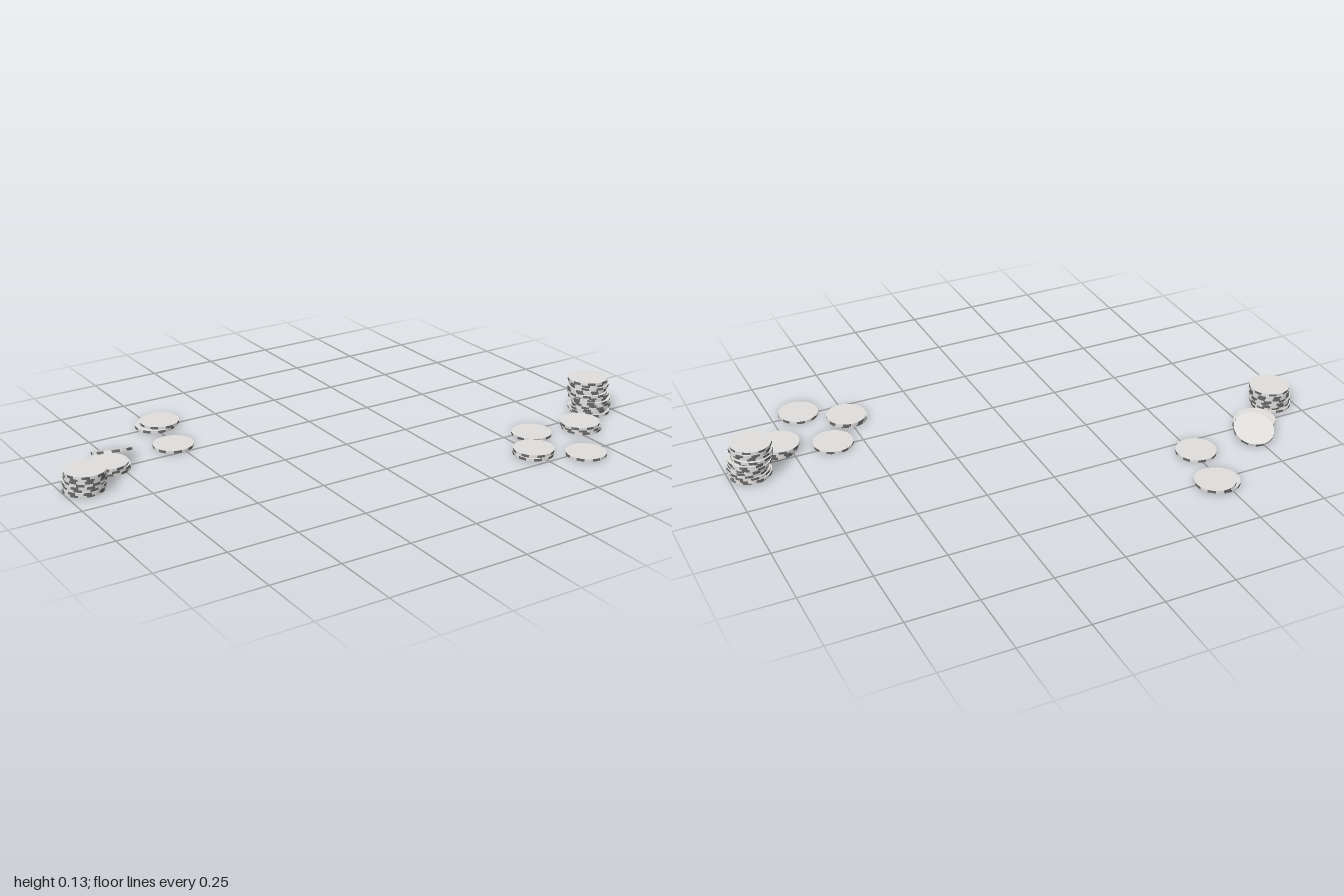
import * as THREE from 'three';

const R = 0.0715, T = 0.0094, SIDES = 48, PATCH = 3;

// Thin disc with a smooth rim of alternating light and dark patches
function chipGeometry() {
  const g = new THREE.CylinderGeometry(R, R, T, SIDES);
  const rim = SIDES * 6, patch = PATCH * 6;
  g.clearGroups();
  for (let start = 0, i = 0; start < rim; start += patch, i++) {
    g.addGroup(start, patch, i % 2);
  }
  g.addGroup(rim, g.index.count - rim, 0);
  return g;
}

// Small seeded generator for uneven stacking
function seeded(seed) {
  return () => {
    seed = (seed * 16807) % 2147483647;
    return seed / 2147483647;
  };
}

function flatMaterial(name, color) {
  const m = new THREE.MeshStandardMaterial({ color });
  m.name = name;
  return m;
}

export function createModel() {
  const model = new THREE.Group();
  model.name = 'chipPiles';
  const materials = [
    flatMaterial('paleGrey', 0xe0dedc),
    flatMaterial('darkGrey', 0x686868),
  ];
  const geometry = chipGeometry();
  const random = seeded(77);

  const addChip = (parent, x, y, z) => {
    const chip = new THREE.Mesh(geometry, materials);
    chip.name = 'chip';
    chip.position.set(x, y, z);
    chip.rotation.y = random() * Math.PI;
    parent.add(chip);
    return chip;
  };

  // name, count, bottom x and z, top x and z, jitter
  const stacks = [
    ['tallStack', 14, 0.924, 0.217, 0.913, 0.208, 0.008],
    ['rightShortStack', 3, 0.792, 0.325, 0.783, 0.324, 0.003],
    ['rightPair', 2, 0.500, 0.414, 0.505, 0.409, 0],
    ['rightInnerChip', 1, 0.604, 0.275, 0.604, 0.275, 0],
    ['rightFrontChip', 1, 0.650, 0.515, 0.650, 0.515, 0],
    ['mediumStack', 8, -0.926, -0.155, -0.920, -0.147, 0.005],
    ['leftShortStack', 3, -0.783, -0.262, -0.792, -0.260, 0.003],
    ['leftInnerChip', 1, -0.514, -0.319, -0.514, -0.319, 0],
    ['leftBackPair', 2, -0.488, -0.514, -0.468, -0.519, 0],
  ];
  for (const [name, count, x0, z0, x1, z1, jitter] of stacks) {
    const stack = new THREE.Group();
    stack.name = name;
    for (let i = 0; i < count; i++) {
      const t = count > 1 ? i / (count - 1) : 0;
      const j = i > 0 && i < count - 1 ? jitter * 2 : 0;
      addChip(stack,
        x0 + (x1 - x0) * t + (random() - 0.5) * j,
        T * (i + 0.5),
        z0 + (z1 - z0) * t + (random() - 0.5) * j);
    }
    model.add(stack);
  }

  // Chip leaning on the left short stack, its back edge low
  const leaning = addChip(model, -0.744, 0.032, -0.325);
  leaning.name = 'leaningChip';
  leaning.rotation.set(-0.36, 0, -0.08);

  return model;
}
